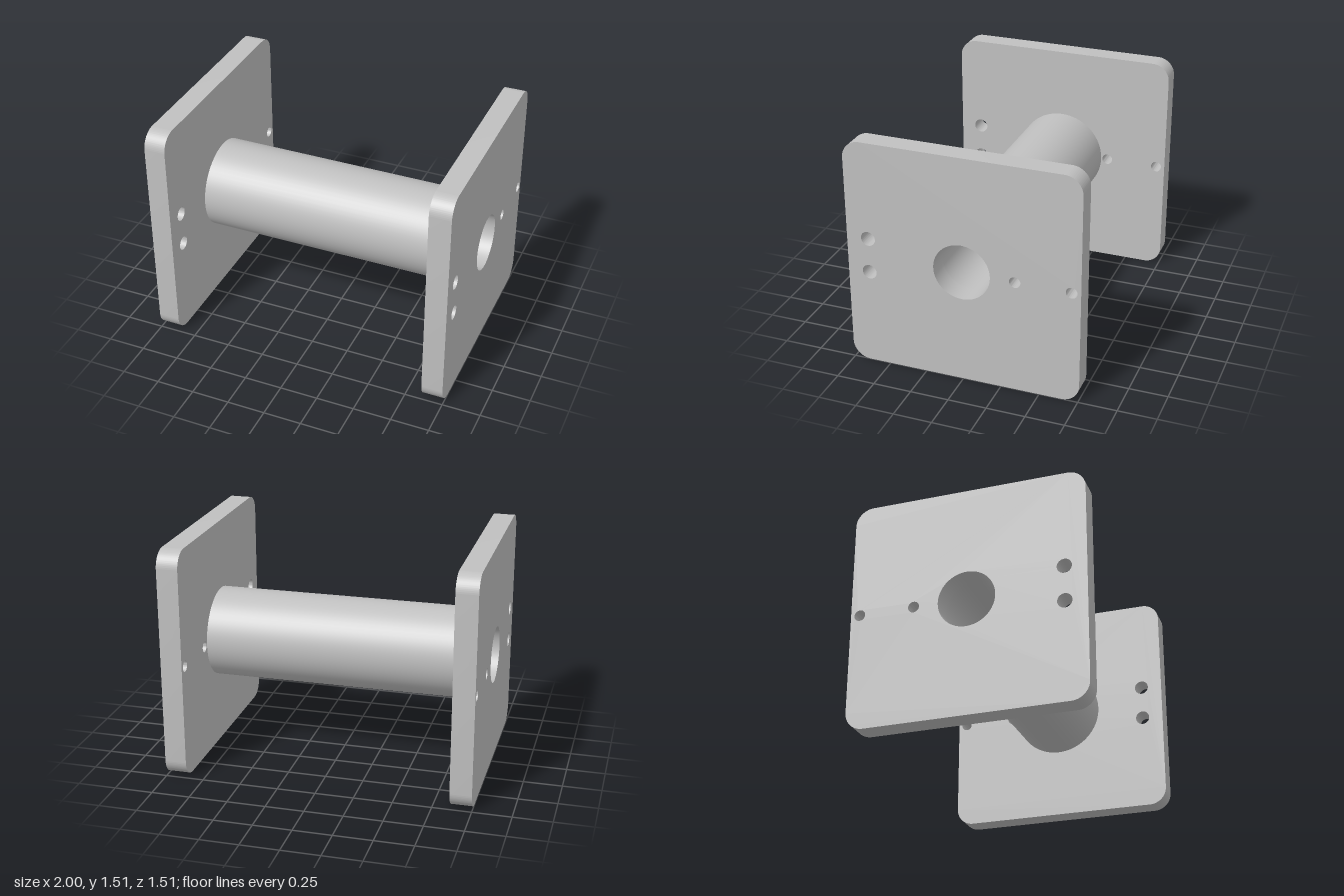
import * as THREE from 'three';
import { toCreasedNormals } from 'three/addons/utils/BufferGeometryUtils.js';

const SIZE = 1.514;       // flange side
const HALF = SIZE / 2;
const CORNER = 0.115;     // flange corner radius
const THICK = 0.14;       // flange thickness
const CORE_R = 0.297;
const BORE_R = 0.184;

function addHole(shape, u, v, r) {
  const hole = new THREE.Path();
  hole.absarc(u, v, r, 0, Math.PI * 2, true);
  shape.holes.push(hole);
}

// Extrudes a (z, y) outline along x, centred on the origin
function extrudeAlongX(shape, length) {
  const geometry = new THREE.ExtrudeGeometry(shape, {
    depth: length, bevelEnabled: false, curveSegments: 32,
  });
  geometry.translate(0, 0, -length / 2);
  geometry.rotateY(-Math.PI / 2);
  return toCreasedNormals(geometry, 0.6);
}

// Rounded square flange with central bore and four small holes
function flangeShape() {
  const shape = new THREE.Shape();
  const c = HALF - CORNER;
  [[1, 1], [-1, 1], [-1, -1], [1, -1]].forEach(([u, v], i) => {
    shape.absarc(u * c, v * c, CORNER, i * Math.PI / 2, (i + 1) * Math.PI / 2, false);
  });
  shape.closePath();
  addHole(shape, 0, 0, BORE_R);
  addHole(shape, 0.615, 0.115, 0.047);
  addHole(shape, 0.615, -0.115, 0.047);
  addHole(shape, -0.342, 0, 0.036);
  addHole(shape, -0.698, 0, 0.036);
  return shape;
}

export function createModel() {
  const model = new THREE.Group();
  model.name = 'spool';
  const grey = new THREE.MeshStandardMaterial({ color: 0xc0c0c0 });
  grey.name = 'light grey';

  // Two identical end flanges
  const flangeGeometry = extrudeAlongX(flangeShape(), THICK);
  for (const [name, side] of [['leftFlange', 1], ['rightFlange', -1]]) {
    const flange = new THREE.Mesh(flangeGeometry, grey);
    flange.name = name;
    flange.position.set(side * (1 - THICK / 2), HALF, 0);
    model.add(flange);
  }

  // Hollow core between the flanges
  const ring = new THREE.Shape();
  ring.absarc(0, 0, CORE_R, 0, Math.PI * 2, false);
  addHole(ring, 0, 0, BORE_R);
  const core = new THREE.Mesh(extrudeAlongX(ring, 2 - 2 * THICK), grey);
  core.name = 'core';
  core.position.y = HALF;
  model.add(core);

  return model;
}
